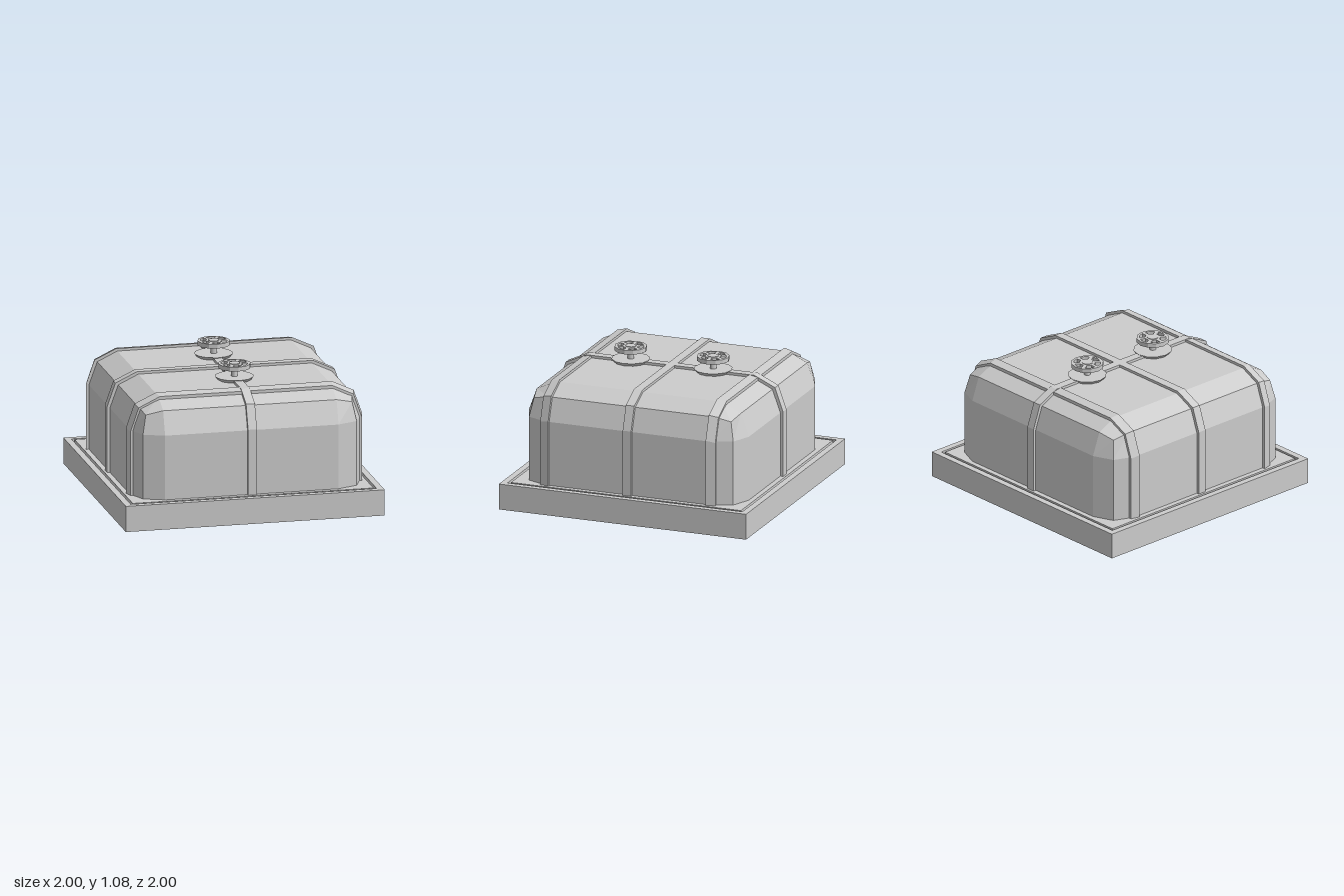
import * as THREE from 'three';

const grey = new THREE.MeshStandardMaterial({ color: 0xcccccc, flatShading: true });
const greyDouble = new THREE.MeshStandardMaterial({ color: 0xcccccc, flatShading: true, side: THREE.DoubleSide });

function add(parent, name, geometry, y = 0, material = grey) {
  const mesh = new THREE.Mesh(geometry, material);
  mesh.name = name;
  mesh.position.y = y;
  parent.add(mesh);
  return mesh;
}

// Open-bottomed square plinth with a shallow groove around its top
function plinthGeometry() {
  const profile = [[1, 0], [1, 0.2], [0.95, 0.2], [0.95, 0.175], [0.93, 0.175], [0.93, 0.2], [0, 0.2]];
  const points = profile.map(([r, y]) => new THREE.Vector2(r * Math.SQRT2, y));
  return new THREE.LatheGeometry(points, 4).rotateY(Math.PI / 4);
}

// Box whose sides and top edges are rounded in two facets
function tankGeometry() {
  const g = new THREE.BoxGeometry(2, 2, 2, 3, 3, 3);
  const p = g.attributes.position;
  const core = 0.67, radius = 0.22, shoulder = 0.7, topRadius = 0.25;
  const dir = new THREE.Vector3();
  const outer = (t) => (Math.abs(t) > 0.9 ? Math.sign(t) : 0);
  for (let i = 0; i < p.count; i++) {
    const x = p.getX(i), y = p.getY(i), z = p.getZ(i);
    dir.set(outer(x), Math.max(outer(y), 0), outer(z)).normalize();
    const coreY = y > 0 ? shoulder : y > -0.9 ? 0.45 : 0.2;
    p.setXYZ(i, Math.sign(x) * core + dir.x * radius, coreY + dir.y * topRadius, Math.sign(z) * core + dir.z * radius);
  }
  // Leave out the underside, which rests on the plinth
  const under = g.groups[3];
  g.setIndex(Array.from(g.index.array).filter((_, i) => i < under.start || i >= under.start + under.count));
  g.clearGroups();
  return g;
}

// Arched band over the tank, from z0 to z1; a tapered band follows the rounded end
function strapGeometry(z0, z1, taper = false) {
  const right = [[0.912, 0.2], [0.912, 0.71], [0.847, 0.892], [0.68, 0.97]];
  const inner = [[0.64, 0.9], [0.79, 0.84], [0.85, 0.69], [0.85, 0.2]];
  const mirror = (pts) => pts.map(([x, y]) => [-x, y]).reverse();
  const outline = [...right, ...mirror(right), ...mirror(inner), ...inner];
  const shape = new THREE.Shape(outline.map(([x, y]) => new THREE.Vector2(x, y)));
  const g = new THREE.ExtrudeGeometry(shape, { depth: z1 - z0, bevelEnabled: false }).translate(0, 0, z0);
  if (taper) {
    const p = g.attributes.position;
    for (let i = 0; i < p.count; i++) {
      if (p.getZ(i) < (z0 + z1) / 2) continue;
      p.setX(i, p.getX(i) * 0.98);
      if (p.getY(i) > 0.3) p.setY(i, p.getY(i) - 0.014);
    }
  }
  return g;
}

// Flat handwheel with six openings between its spokes
function wheelGeometry() {
  const polar = (r, a) => new THREE.Vector2(r * Math.cos(a), r * Math.sin(a));
  const rim = [];
  for (let i = 0; i < 12; i++) rim.push(polar(0.123, (i * Math.PI) / 6));
  const shape = new THREE.Shape(rim);
  for (let i = 0; i < 6; i++) {
    const a = Math.PI / 2 + (i * Math.PI) / 3;
    shape.holes.push(new THREE.Path([
      polar(0.06, a - 0.3), polar(0.1, a - 0.38), polar(0.103, a), polar(0.1, a + 0.38), polar(0.06, a + 0.3),
    ]));
  }
  return new THREE.ExtrudeGeometry(shape, { depth: 0.033, bevelEnabled: false }).rotateX(-Math.PI / 2);
}

// Flange, stem, handwheel and hub
function makeValve() {
  const valve = new THREE.Group();
  add(valve, 'valveFlange', new THREE.CylinderGeometry(0.147, 0.122, 0.03, 12), 0.96);
  add(valve, 'valveStem', new THREE.CylinderGeometry(0.025, 0.025, 0.1, 12), 1.0);
  add(valve, 'handwheel', wheelGeometry(), 1.04);
  add(valve, 'handwheelHub', new THREE.CylinderGeometry(0.042, 0.042, 0.042, 12), 1.056);
  return valve;
}

export function createModel() {
  const model = new THREE.Group();
  model.name = 'storageTank';

  add(model, 'plinth', plinthGeometry(), 0, greyDouble);
  add(model, 'tankBody', tankGeometry());

  // Straps: one lengthwise, one across the middle, one near each end
  add(model, 'lengthwiseStrap', strapGeometry(-0.034, 0.034).rotateY(Math.PI / 2));
  add(model, 'middleStrap', strapGeometry(-0.034, 0.034));
  add(model, 'frontStrap', strapGeometry(0.637, 0.708, true));
  add(model, 'backStrap', strapGeometry(0.637, 0.708, true).rotateY(Math.PI));

  for (const [name, z] of [['frontValve', 0.333], ['backValve', -0.333]]) {
    const valve = makeValve();
    valve.name = name;
    valve.position.z = z;
    model.add(valve);
  }
  return model;
}
